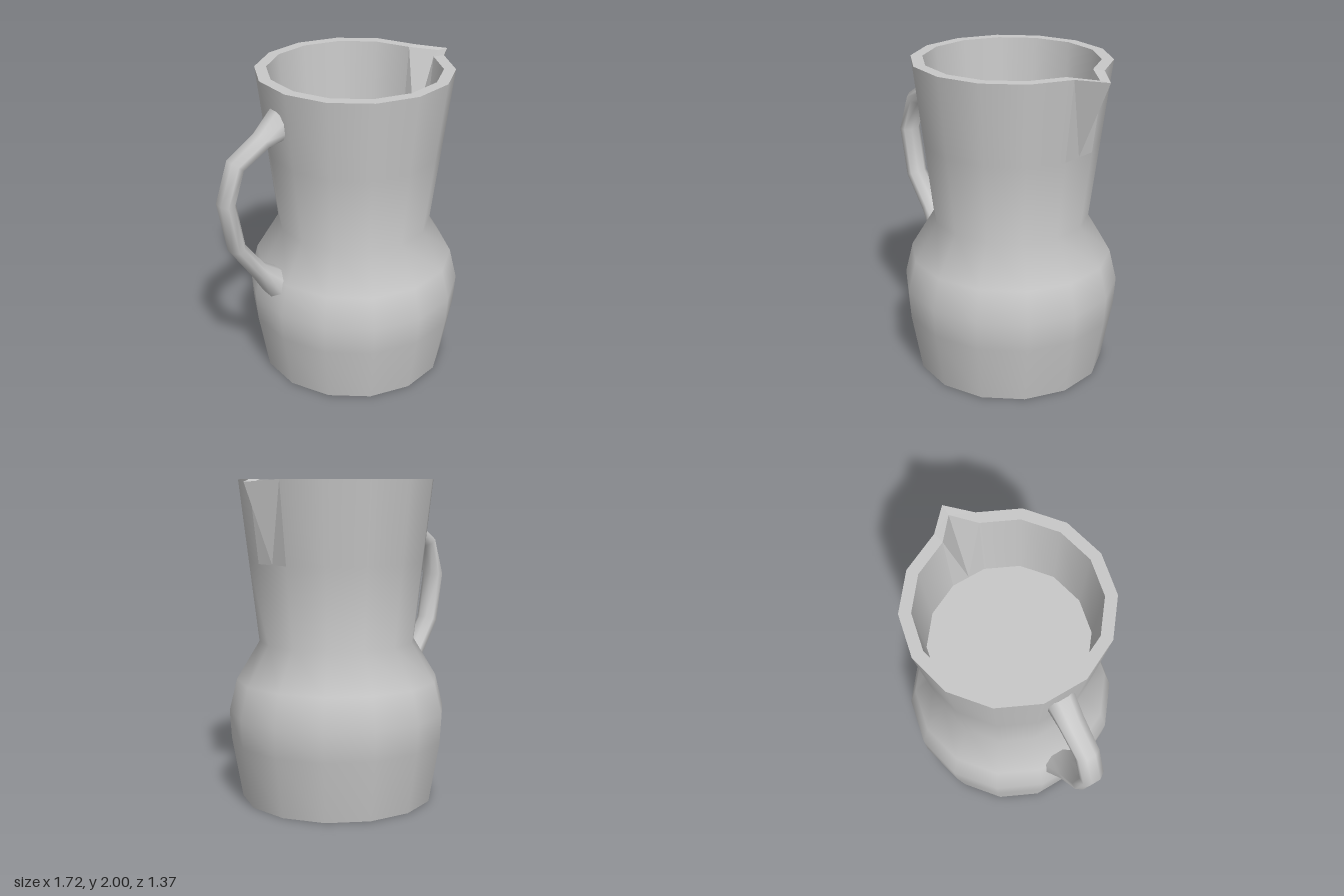
import * as THREE from 'three';

const SIDES = 14;
const STEP = (Math.PI * 2) / SIDES;
const CENTRE = 0.12; // the vessel axis, offset to balance the handle

export function createModel() {
  const model = new THREE.Group();
  model.name = 'pitcher';
  const clay = new THREE.MeshStandardMaterial({ color: 0xc8c8c8 });
  clay.name = 'plain grey';

  const add = (name, geometry, x = 0) => {
    const mesh = new THREE.Mesh(geometry, clay);
    mesh.name = name;
    mesh.position.x = x;
    model.add(mesh);
  };
  const turned = (name, points, gap = false) => {
    const profile = points.map(([r, y]) => new THREE.Vector2(r, y));
    const geometry = gap
      ? new THREE.LatheGeometry(profile, SIDES - 1, Math.PI / 2 + STEP / 2, STEP * (SIDES - 1))
      : new THREE.LatheGeometry(profile, SIDES);
    add(name, geometry, CENTRE);
  };

  // Vessel: base, belly and neck, then the upper walls with one side left open for the spout
  turned('base', [[0, 0], [0.607, 0]]);
  turned('belly', [[0.607, 0], [0.673, 0.38], [0.684, 0.56], [0.635, 0.76], [0.49, 1], [0.5485, 1.5]]);
  turned('upperWall', [[0.5485, 1.5], [0.607, 2]], true);
  turned('rim', [[0.607, 2], [0.535, 2]], true);
  turned('innerWall', [[0.535, 2], [0.495, 1.5]], true);
  turned('innerFloor', [[0.495, 1.5], [0, 1.5]]);

  add('spout', spoutGeometry());
  add('handle', handleGeometry());
  return model;
}

// Pointed spout filling the open side; built for +z and mirrored
function spoutGeometry() {
  const corner = (r, y) => [CENTRE + r * Math.cos(STEP / 2), y, r * Math.sin(STEP / 2)];
  const middle = (r, y) => [CENTRE + r * Math.cos(STEP / 2), y, 0];
  const A = corner(0.607, 2), B = corner(0.5485, 1.5), M = middle(0.5485, 1.5), T = [0.86, 1.983, 0];
  const a = corner(0.535, 2), b = corner(0.495, 1.5), m = middle(0.495, 1.5), t = [0.785, 1.983, 0];
  const faces = [
    [A, M, T], [B, M, A], // outside
    [a, t, m], [b, a, m], // inside
    [A, T, t], [A, t, a], // lip
  ];
  const positions = [];
  for (const [p, q, r] of faces) {
    positions.push(...p, ...q, ...r);
    for (const [x, y, z] of [p, r, q]) positions.push(x, y, -z);
  }
  const geometry = new THREE.BufferGeometry();
  geometry.setAttribute('position', new THREE.Float32BufferAttribute(positions, 3));
  geometry.computeVertexNormals();
  return geometry;
}

// Handle swept through oval sections that flare at both ends
function handleGeometry() {
  const sides = 8;
  // x, y, half thickness, half width
  const sections = [
    [-0.415, 1.775, 0.1, 0.085], [-0.555, 1.695, 0.052, 0.075], [-0.735, 1.585, 0.05, 0.07],
    [-0.81, 1.36, 0.05, 0.07], [-0.755, 1.05, 0.048, 0.07], [-0.61, 0.845, 0.052, 0.075],
    [-0.485, 0.715, 0.092, 0.108],
  ];
  const positions = [], index = [];
  sections.forEach(([x, y, thick, wide], i) => {
    const p = sections[Math.max(i - 1, 0)], q = sections[Math.min(i + 1, sections.length - 1)];
    const along = new THREE.Vector2(q[0] - p[0], q[1] - p[1]).normalize();
    for (let j = 0; j < sides; j++) {
      const angle = ((j + 0.5) / sides) * Math.PI * 2;
      const c = (Math.cos(angle) * thick) / Math.cos(Math.PI / sides);
      const s = (Math.sin(angle) * wide) / Math.cos(Math.PI / sides);
      positions.push(x + along.y * c, y - along.x * c, s);
      if (i < sections.length - 1) {
        const k = (j + 1) % sides, n = i * sides;
        index.push(n + j, n + sides + j, n + k, n + k, n + sides + j, n + sides + k);
      }
    }
  });
  const geometry = new THREE.BufferGeometry();
  geometry.setAttribute('position', new THREE.Float32BufferAttribute(positions, 3));
  geometry.setIndex(index);
  geometry.computeVertexNormals();
  return geometry;
}
